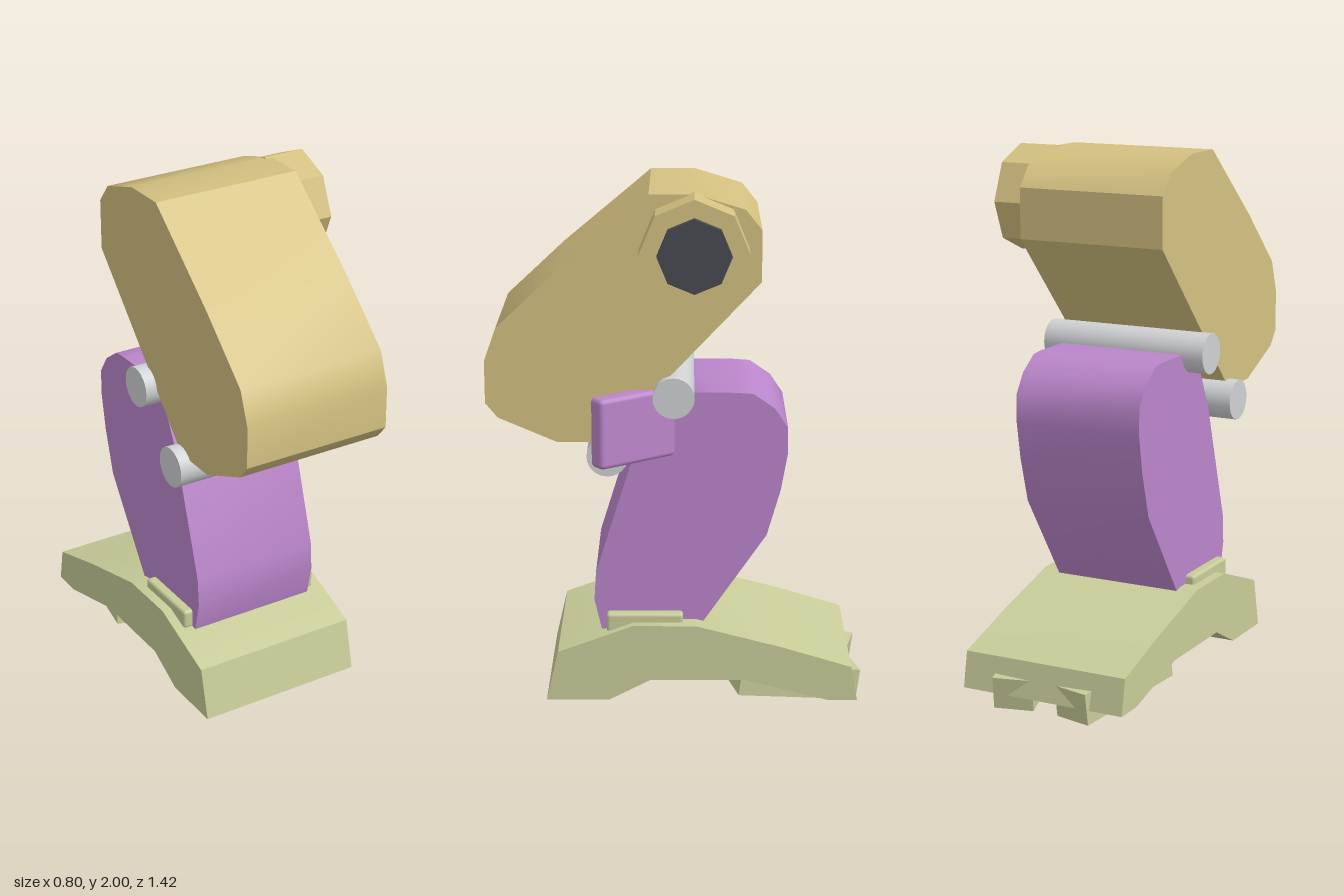
import * as THREE from 'three';
import { toCreasedNormals } from 'three/addons/utils/BufferGeometryUtils.js';
import { RoundedBoxGeometry } from 'three/addons/geometries/RoundedBoxGeometry.js';

const material = (name, color) => {
  const m = new THREE.MeshStandardMaterial({ color });
  m.name = name;
  return m;
};

export function createModel() {
  const group = new THREE.Group();
  const tan = material('tan', 0xd3c080);
  const purple = material('purple', 0xbb86cb);
  const green = material('pale green', 0xc8cc98);
  const silver = material('silver', 0xd0d1d3);
  const dark = material('dark grey', 0x484a52);

  const add = (name, geometry, mat) => {
    const mesh = new THREE.Mesh(geometry, mat);
    mesh.name = name;
    group.add(mesh);
    return mesh;
  };

  // Side profile in [z, y], extruded across x from x0 to x1
  const slab = (name, profile, x0, x1, mat, crease = 0.6) => {
    const shape = new THREE.Shape(profile.map(([z, y]) => new THREE.Vector2(z, y)));
    const g = new THREE.ExtrudeGeometry(shape, { depth: x1 - x0, bevelEnabled: false });
    g.rotateY(-Math.PI / 2).translate(x1, 0, 0);
    return add(name, toCreasedNormals(g, crease), mat);
  };

  // Cylinder lying along x
  const rod = (name, r, x0, x1, y, z, sides, mat) => {
    const g = new THREE.CylinderGeometry(r, r, x1 - x0, sides);
    g.rotateZ(-Math.PI / 2).translate((x0 + x1) / 2, y, z);
    return add(name, toCreasedNormals(g, 0.6), mat);
  };

  // Upper leg with its hip hub
  slab('upperLeg', [
    [0.10, 2], [0.435, 1.72], [0.66, 1.51], [0.705, 1.385], [0.705, 1.225], [0.66, 1.17],
    [0.44, 1.075], [0.26, 1.075], [0.03, 1.32], [-0.31, 1.68], [-0.31, 1.87], [-0.25, 1.945], [-0.07, 2],
  ], -0.355, 0.228, tan);
  rod('hipHub', 0.2, 0.2, 0.365, 1.805, -0.065, 8, tan);
  rod('hipCap', 0.135, 0.36, 0.395, 1.805, -0.065, 8, dark);

  // Knee rods
  rod('rearKneeRod', 0.077, -0.4, 0.27, 1.253, 0.01, 24, silver);
  rod('frontKneeRod', 0.077, -0.4, 0.27, 1.032, 0.255, 24, silver);

  // Lower leg and the angled knee flap
  slab('lowerLeg', [
    [-0.03, 1.255], [0.07, 1.2], [0.16, 1.015], [0.305, 0.55], [0.312, 0.44], [0.285, 0.32],
    [-0.08, 0.32], [-0.34, 0.70], [-0.39, 0.875], [-0.415, 1.015], [-0.415, 1.12],
    [-0.365, 1.195], [-0.285, 1.25], [-0.22, 1.255],
  ], -0.318, 0.19, purple);
  const flap = add('kneeFlap', new RoundedBoxGeometry(0.075, 0.265, 0.345, 2, 0.018), purple);
  flap.position.set(0.252, 1.143, 0.155);
  flap.rotation.y = 0.628;

  // Foot and ankle plate
  slab('foot', [
    [0.495, 0.06], [0.45, 0.255], [0.165, 0.36], [-0.075, 0.36], [-0.40, 0.275], [-0.665, 0.195],
    [-0.69, 0.06], [-0.575, 0.06], [-0.265, 0.14], [0.10, 0.14], [0.255, 0.06],
  ], -0.392, 0.265, green);
  const plate = add('anklePlate', new RoundedBoxGeometry(0.583, 0.075, 0.29, 2, 0.012), green);
  plate.position.set(-0.063, 0.357, 0.12);

  // Splayed heel claws, mirrored about the foot's centre line
  for (const side of [-1, 1]) {
    const claw = add(side < 0 ? 'rightHeelClaw' : 'leftHeelClaw', new THREE.BoxGeometry(0.15, 0.122, 0.475), green);
    claw.rotation.order = 'YXZ';
    claw.rotation.set(-0.135, side * 0.24, 0);
    claw.position.set(-0.063 + side * 0.177, 0.098, -0.457);
  }

  return group;
}
